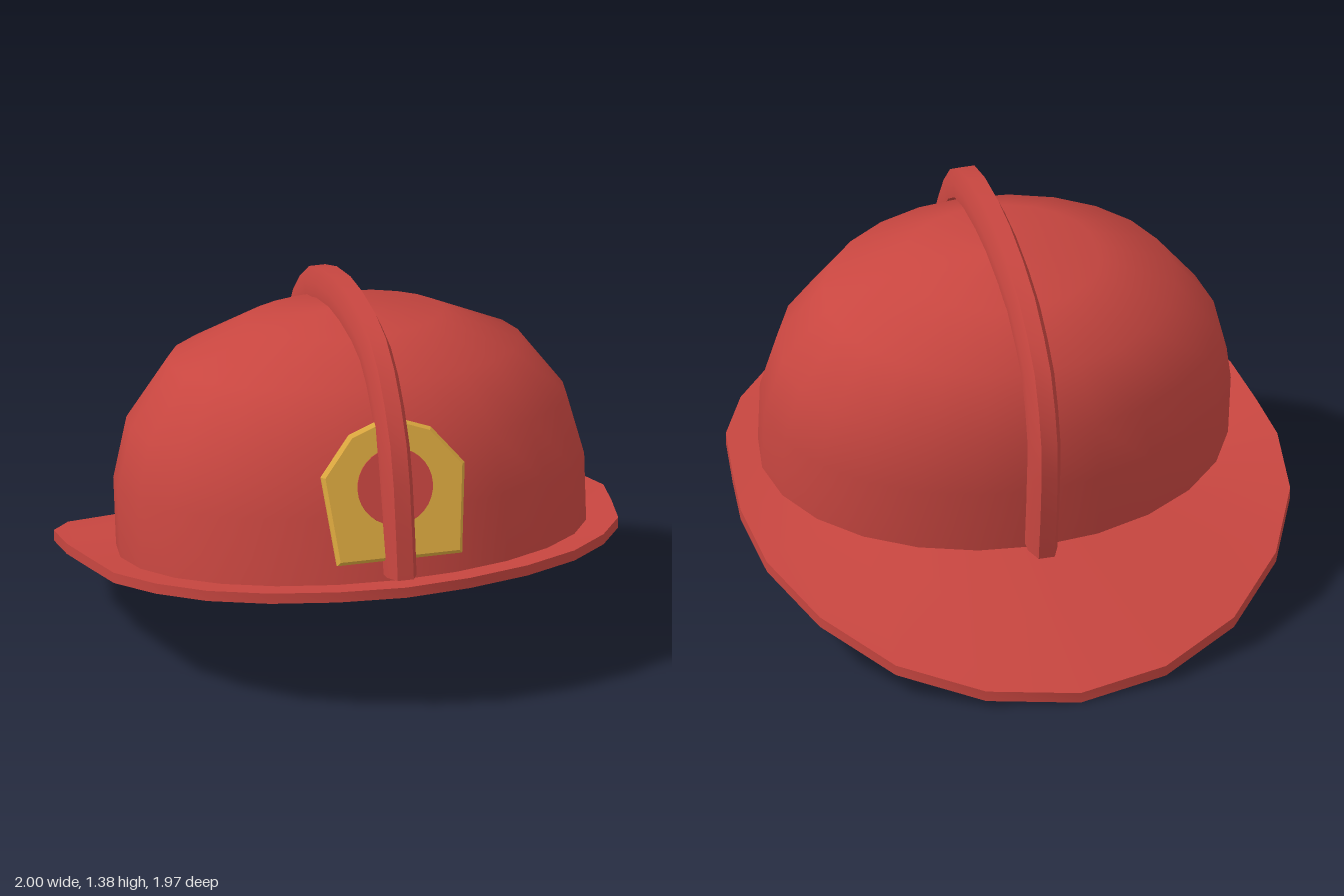
import * as THREE from 'three';
import { toCreasedNormals } from 'three/addons/utils/BufferGeometryUtils.js';

const material = (name, color) => {
  const m = new THREE.MeshStandardMaterial({ color });
  m.name = name;
  return m;
};

// Skin a list of closed rings of [x, y, z]; a ring of equal points makes a cap
function loft(rings) {
  const n = rings[0].length, index = [];
  for (let r = 0; r < rings.length - 1; r++) {
    for (let i = 0; i < n; i++) {
      const a = r * n + i, b = r * n + (i + 1) % n;
      index.push(a, a + n, b + n, a, b + n, b);
    }
  }
  const g = new THREE.BufferGeometry();
  g.setAttribute('position', new THREE.Float32BufferAttribute(rings.flat(2), 3));
  g.setIndex(index);
  g.computeVertexNormals();
  return g;
}

// Ellipse on the tilted shell axis, starting at the back and passing +x
const SEGMENTS = 24, TILT = 0.131;
function shellRing(rx, rz, height) {
  const c = Math.cos(TILT), s = Math.sin(TILT);
  return Array.from({ length: SEGMENTS }, (_, i) => {
    const a = (i / SEGMENTS) * Math.PI * 2;
    const w = -rz * Math.cos(a);
    return [rx * Math.sin(a), 0.415 + height * c + w * s, 0.22 - height * s + w * c];
  });
}

export function createModel() {
  const red = material('helmet red', 0xc84640);
  const gold = material('badge gold', 0xdca83f);
  const dark = material('dark lining', 0x15161a);

  const group = new THREE.Group();
  group.name = 'helmet';
  const add = (name, geometry, mat, parent = group) => {
    const mesh = new THREE.Mesh(geometry, mat);
    mesh.name = name;
    parent.add(mesh);
    return mesh;
  };

  // Dome: x radius, z radius, height along the tilted axis
  const domeRings = [
    [0.86, 0.65, -0.01], [0.862, 0.645, 0.25], [0.805, 0.617, 0.475],
    [0.645, 0.512, 0.69], [0.365, 0.303, 0.815], [0, 0, 0.853],
  ];
  add('dome', loft(domeRings.map((r) => shellRing(...r))), red);

  // Brim: half outline from back to front as x, z, underside y
  const half = [
    [0, -0.985, 0], [0.335, -0.925, 0.025], [0.63, -0.77, 0.09], [0.85, -0.535, 0.19],
    [0.975, -0.27, 0.285], [1, 0, 0.35], [0.975, 0.2, 0.38], [0.94, 0.425, 0.41],
    [0.835, 0.61, 0.435], [0.685, 0.765, 0.455], [0.48, 0.875, 0.467],
    [0.245, 0.95, 0.477], [0, 0.98, 0.48],
  ];
  const outline = [...half, ...half.slice(1, -1).reverse().map(([x, z, y]) => [-x, z, y])];
  const edge = (lift) => outline.map(([x, z, y]) => [x, y + lift, z]);
  const inner = shellRing(0.86, 0.65, -0.035);
  const brim = loft([inner, edge(0), edge(0.04), shellRing(0.855, 0.645, 0)]);
  add('brim', toCreasedNormals(brim, 0.5), red);

  // Closed lining under the dome
  add('lining', loft([shellRing(0, 0, -0.035), inner]), dark);

  // Crest: outer edge as z, y from front to back, swept with a chamfered section
  const path = [
    [0.97, 0.545], [0.95, 0.69], [0.915, 0.89], [0.87, 1.03], [0.79, 1.155], [0.7, 1.255],
    [0.585, 1.33], [0.44, 1.365], [0.26, 1.375], [0.1, 1.365], [-0.085, 1.325],
    [-0.245, 1.265], [-0.37, 1.175], [-0.465, 1.08], [-0.525, 0.95], [-0.56, 0.815],
    [-0.56, 0.69], [-0.545, 0.52], [-0.52, 0.335],
  ];
  const section = [ // x, depth below the outer edge
    [-0.055, 0.105], [0.055, 0.105], [0.055, 0.055], [0.03, 0], [-0.03, 0], [-0.055, 0.055],
  ];
  const crestRings = path.map(([z, y], i) => {
    const p = path[Math.max(i - 1, 0)], q = path[Math.min(i + 1, path.length - 1)];
    const dz = q[0] - p[0], dy = q[1] - p[1], len = Math.hypot(dz, dy);
    return section.map(([x, d]) => [x, y + (d * dz) / len, z - (d * dy) / len]);
  });
  const cap = (ring) => {
    const mid = [0, 1, 2].map((k) => ring.reduce((sum, p) => sum + p[k], 0) / ring.length);
    return ring.map(() => mid);
  };
  const crest = loft([cap(crestRings[0]), ...crestRings, cap(crestRings.at(-1))]);
  add('crest', toCreasedNormals(crest, 0.45), red);

  // Badge: leaning shield with a thin round emblem
  const badge = new THREE.Group();
  badge.name = 'badge';
  badge.position.set(0, 0.59, 0.875);
  badge.rotation.x = -0.29;
  group.add(badge);
  const corner = [[0.222, 0.01], [0.255, 0.32], [0.145, 0.455], [0.05, 0.49]];
  const points = [...corner, ...corner.map(([x, y]) => [-x, y]).reverse()];
  const shield = new THREE.ExtrudeGeometry(
    new THREE.Shape(points.map(([x, y]) => new THREE.Vector2(x, y))),
    { depth: 0.012, bevelEnabled: true, bevelSize: 0.012, bevelThickness: 0.012, bevelSegments: 1 },
  );
  add('shield', shield, gold, badge);
  const emblem = add('emblem', new THREE.CylinderGeometry(0.14, 0.14, 0.006, 32), red, badge);
  emblem.rotation.x = Math.PI / 2;
  emblem.position.set(0, 0.265, 0.026);

  return group;
}
